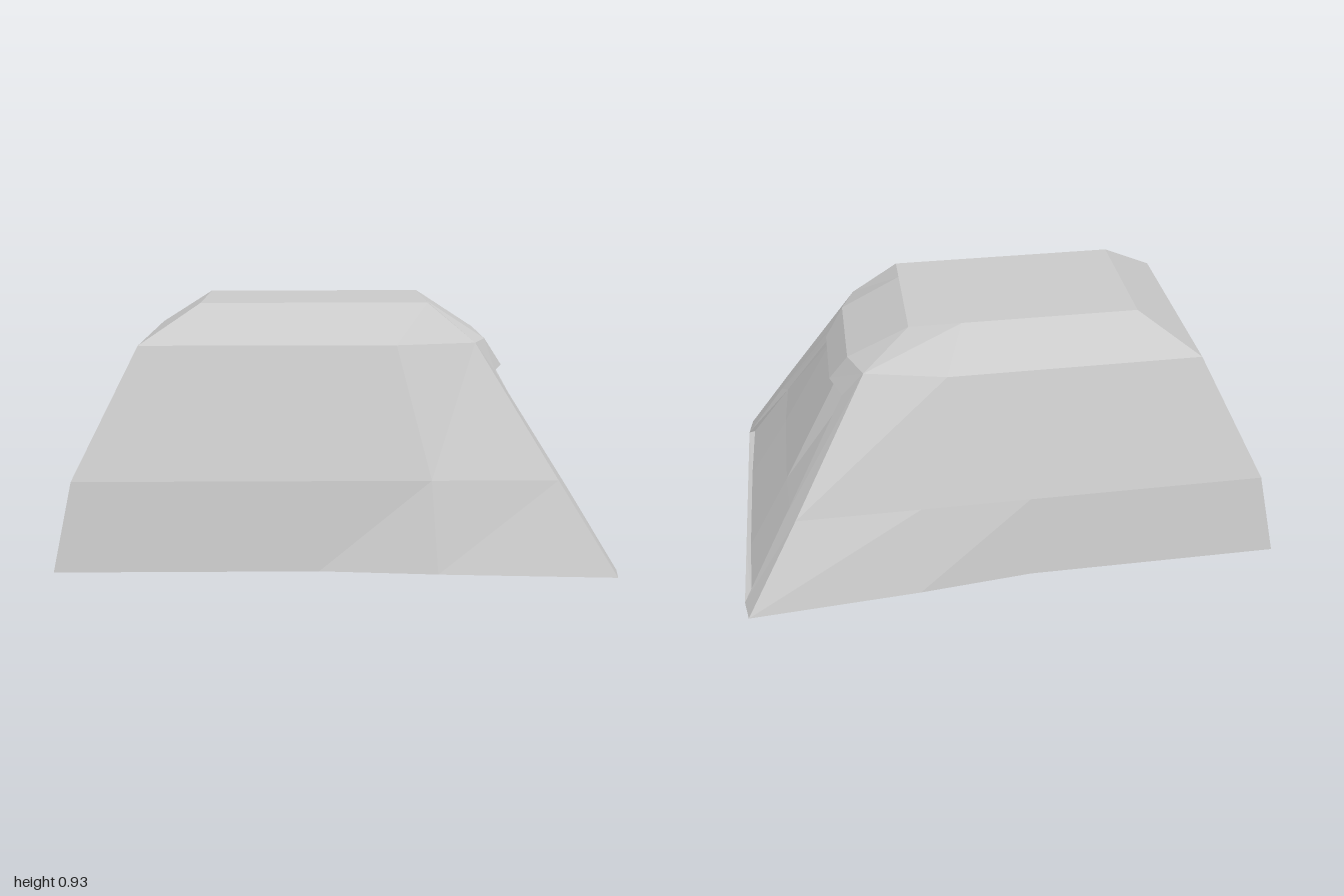
import * as THREE from 'three';

const material = new THREE.MeshStandardMaterial({ color: 0xcccccc, flatShading: true });
const flip = ([x, y, z]) => [x, y, -z];
// Completes a half row with its mirror image, running from +z to -z
const span = (half) => [...half, ...half.map(flip).reverse()];
// Mirrors a patch across z, reversing columns to keep it facing outward
const mirror = (rows) => rows.map((row) => row.map(flip).reverse());

// Builds flat facets between rows listed bottom to top, columns left to right
function patches(name, list) {
  const pos = [];
  for (const rows of list) {
    for (let i = 0; i + 1 < rows.length; i++) {
      for (let j = 0; j + 1 < rows[i].length; j++) {
        const a = rows[i][j], b = rows[i][j + 1];
        const c = rows[i + 1][j + 1], d = rows[i + 1][j];
        pos.push(...a, ...b, ...c, ...a, ...c, ...d);
      }
    }
  }
  const geometry = new THREE.BufferGeometry();
  geometry.setAttribute('position', new THREE.Float32BufferAttribute(pos, 3));
  geometry.computeVertexNormals();
  const mesh = new THREE.Mesh(geometry, material);
  mesh.name = name;
  return mesh;
}

export function createModel() {
  const group = new THREE.Group();
  group.name = 'taperedCabin';

  // Flank at four heights, from the rear corner to the sloped end
  const side = [
    [[-1, 0, 0.56], [-0.06, 0, 0.56], [0.36, 0, 0.603], [0.985, 0, 0.648]],
    [[-0.935, 0.32, 0.522], [-0.06, 0.32, 0.522], [0.34, 0.32, 0.522], [0.79, 0.32, 0.522]],
    [[-0.705, 0.785, 0.385], [-0.06, 0.785, 0.385], [0.22, 0.785, 0.385], [0.51, 0.785, 0.316]],
    [[-0.49, 0.925, 0.255], [-0.06, 0.925, 0.255], [0.15, 0.925, 0.255], [0.34, 0.925, 0.255]],
  ];
  const roof = side[3];
  const base = [...side[0], [1, 0, 0.56]];
  const rearEnd = side.map((row) => [flip(row[0]), row[0]]);
  group.add(patches('sideWalls', [side, mirror(side)]));
  group.add(patches('rearWall', [rearEnd]));
  group.add(patches('roof', [[roof, roof.map(flip)]]));
  group.add(patches('base', [[base.map(flip), base]]));

  // Faceted brow above the sloped end
  const browEdge = [[0.59, 0.675, 0.272], [0.63, 0.68, 0.155]];
  const brow = [
    browEdge,
    [side[2][3], [0.56, 0.785, 0.19]],
    [roof[3], [0.34, 0.925, 0.14]],
  ].map(span);
  group.add(patches('brow', [brow]));

  // Raised frame strips beside the panel
  const inner = [[1, 0, 0.56], [0.833, 0.28, 0.45], browEdge[0]];
  const frame = inner.map((p, i) => [side[i][3], p]);
  group.add(patches('frame', [frame, mirror(frame)]));

  // Recessed panel with its reveal on all four edges
  const panel = [
    [[0.975, 0.008, 0.555], [0.982, 0.008, 0.24]],
    [[0.808, 0.28, 0.44], [0.82, 0.28, 0.2]],
    [[0.57, 0.672, 0.265], [0.603, 0.676, 0.15]],
  ];
  group.add(patches('panel', [panel.map(span)]));
  const reveal = inner.map((p, i) => [p, panel[i][0]]);
  const sill = [[1, 0, 0.56], [1, 0, 0.24]];
  group.add(patches('panelReveal', [
    reveal,
    mirror(reveal),
    [span(sill), span(panel[0])],
    [span(panel[2]), span(browEdge)],
  ]));
  return group;
}
